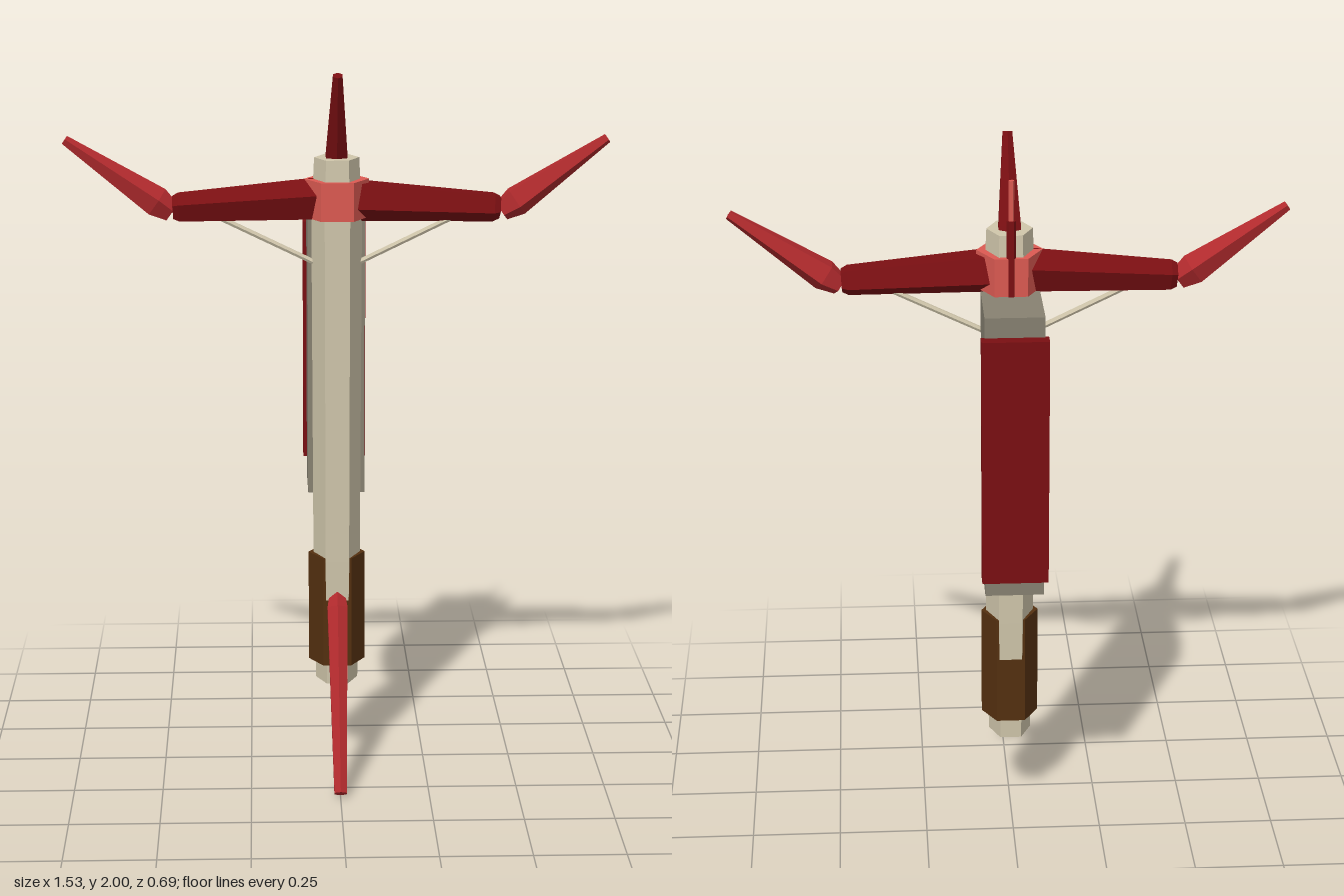
import * as THREE from 'three';

const mat = (name, color) => {
  const m = new THREE.MeshStandardMaterial({ color, flatShading: true });
  m.name = name;
  return m;
};

export function createModel() {
  const group = new THREE.Group();
  const wood = mat('pale wood', 0xd0c6ab);
  const grey = mat('warm grey', 0x878171);
  const darkRed = mat('dark red', 0x7a0f12);
  const red = mat('red', 0xb02a2d);
  const lightRed = mat('light red', 0xdc5a52);
  const brown = mat('dark brown', 0x543010);
  const AXIS_Z = -0.053;

  const add = (name, geometry, material) => {
    const mesh = new THREE.Mesh(geometry, material);
    mesh.name = name;
    group.add(mesh);
    return mesh;
  };

  // Closed faceted solid turned from [radius, height] pairs
  const turned = (profile, sides, phase = 0) => {
    const first = profile[0], last = profile[profile.length - 1];
    const pts = [[0, first[1]], ...profile, [0, last[1]]];
    return new THREE.LatheGeometry(pts.map(p => new THREE.Vector2(p[0], p[1])), sides, phase);
  };

  // Upright six-sided prism, flat to the front, stretched in depth
  const hexPrism = (name, profile, depthScale, material) => {
    const mesh = add(name, turned(profile, 6, Math.PI / 2), material);
    mesh.scale.z = depthScale / 0.866;
    mesh.position.z = AXIS_Z;
    return mesh;
  };

  // Tapered bar from a to b; profile is [radius, fraction], ridge points along hint
  const bar = (name, a, b, profile, sides, hint, material, widen = 1) => {
    const start = new THREE.Vector3(...a);
    const dir = new THREE.Vector3(...b).sub(start);
    const length = dir.length();
    dir.normalize();
    const ridge = new THREE.Vector3(...hint);
    ridge.addScaledVector(dir, -ridge.dot(dir)).normalize();
    const side = new THREE.Vector3().crossVectors(dir, ridge);
    const geo = turned(profile.map(([r, t]) => [r, t * length]), sides);
    geo.scale(widen, 1, 1);
    geo.applyMatrix4(new THREE.Matrix4().makeBasis(side, dir, ridge));
    geo.translate(...a);
    return add(name, geo, material);
  };

  const block = (name, w, y0, y1, z0, z1, material) => {
    const mesh = add(name, new THREE.BoxGeometry(w, y1 - y0, z1 - z0), material);
    mesh.position.set(0, (y0 + y1) / 2, (z0 + z1) / 2);
  };

  // Stock, collar and grip
  hexPrism('stock', [[0.06, 0.23], [0.067, 0.6], [0.071, 1.59], [0.063, 1.755]], 1.1, wood);
  hexPrism('collar', [[0.091, 1.587], [0.091, 1.695]], 0.96, lightRed);
  hexPrism('grip', [[0.081, 0.287], [0.081, 0.61]], 0.88, brown);

  // Magazine and its back plate
  block('magazine', 0.162, 0.777, 1.588, -0.31, -0.09, grey);
  block('magazineBackPlate', 0.182, 0.83, 1.532, -0.346, -0.305, darkRed);

  // Bow arms, recurved tips and braces
  for (const s of [-1, 1]) {
    const side = s > 0 ? 'left' : 'right';
    const ridge = [0, -s, 0];
    bar(side + 'InnerLimb', [s * 0.03, 1.638, AXIS_Z], [s * 0.458, 1.614, AXIS_Z],
      [[0.062, 0], [0.061, 0.1], [0.043, 0.96], [0.034, 1]], 5, ridge, darkRed, 1.12);
    bar(side + 'OuterLimb', [s * 0.462, 1.602, AXIS_Z], [s * 0.756, 1.806, AXIS_Z],
      [[0.03, 0], [0.045, 0.14], [0.014, 1]], 5, ridge, red, 1.05);
    bar(side + 'Brace', [s * 0.05, 1.452, AXIS_Z], [s * 0.34, 1.592, AXIS_Z],
      [[0.008, 0], [0.008, 1]], 6, [0, 0, 1], wood);
  }

  // Nose spike and front leg
  bar('noseSpike', [0, 1.7, -0.075], [0, 1.994, 0.055],
    [[0.036, 0], [0.035, 0.2], [0.015, 1]], 6, [0, 0, 1], darkRed);
  bar('frontLeg', [0, 0.5, -0.005], [0, 0.014, 0.325],
    [[0.025, 0], [0.033, 0.08], [0.02, 1]], 6, [0, 0, 1], red);

  // Bolt lying along the back of the stock
  bar('boltShaft', [0, 0.72, -0.132], [0, 1.8, -0.132],
    [[0.013, 0], [0.013, 1]], 6, [1, 0, 0], darkRed);
  bar('boltTip', [0, 1.8, -0.132], [0, 1.912, -0.132],
    [[0.008, 0], [0.008, 1]], 6, [1, 0, 0], lightRed);

  return group;
}
